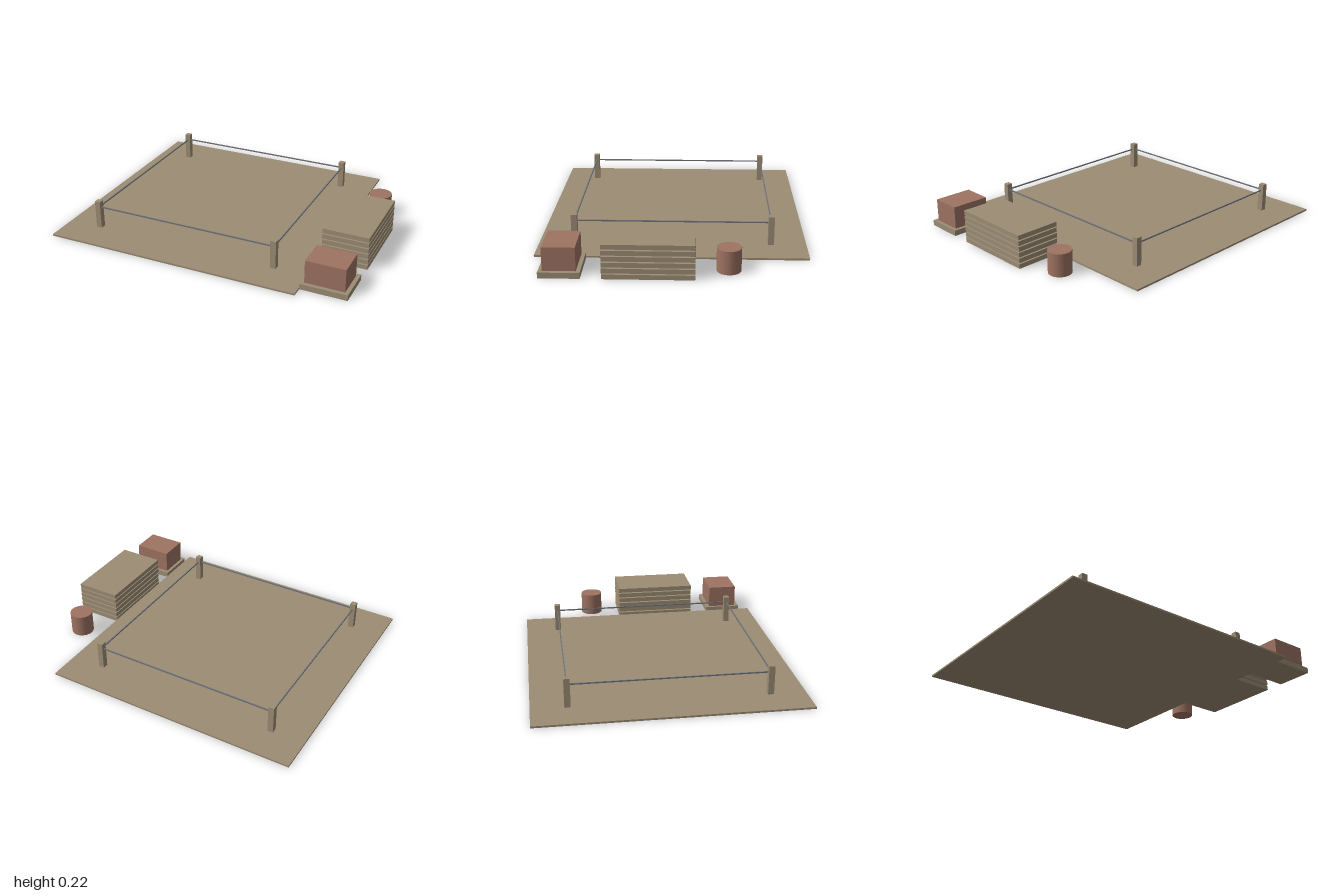
import * as THREE from 'three';

export function createModel() {
  const model = new THREE.Group();
  model.name = 'ropedYard';

  const wood = new THREE.MeshStandardMaterial({ color: 0x9c8c74 });
  wood.name = 'tan wood';
  const clay = new THREE.MeshStandardMaterial({ color: 0x9e7362 });
  clay.name = 'reddish brown';
  const cord = new THREE.MeshStandardMaterial({ color: 0x6e737a });
  cord.name = 'grey rope';

  // Box standing on height y, centred on x and z
  const box = (name, material, [w, h, d], [x, y, z], parent = model) => {
    const mesh = new THREE.Mesh(new THREE.BoxGeometry(w, h, d), material);
    mesh.name = name;
    mesh.position.set(x, y + h / 2, z);
    parent.add(mesh);
    return mesh;
  };

  // Ground slab
  box('groundSlab', wood, [1.7, 0.012, 1.7], [-0.15, 0, 0]);

  // Corner posts joined by a single line of rope
  const fence = new THREE.Group();
  fence.name = 'fence';
  fence.position.set(-0.15, 0, 0);
  model.add(fence);
  const half = 0.625;
  for (const side of [-1, 1]) {
    for (const end of [-1, 1]) {
      box('post', wood, [0.038, 0.188, 0.038], [side * half, 0.012, end * half], fence);
    }
    box('sideRope', cord, [0.007, 0.008, 2 * half], [side * half, 0.153, 0], fence);
    box('crossRope', cord, [2 * half, 0.008, 0.007], [0, 0.153, side * half], fence);
  }

  // Stack of six boards with narrow gaps
  const stack = new THREE.Group();
  stack.name = 'boardStack';
  model.add(stack);
  for (let i = 0; i < 6; i++) {
    box('board', wood, [0.3, 0.03, 0.55], [0.85, i * 0.0378, 0.125], stack);
  }

  // Crate on its pallet
  box('pallet', wood, [0.3, 0.037, 0.25], [0.85, 0, 0.65]);
  box('crate', clay, [0.254, 0.15, 0.2], [0.848, 0.037, 0.65]);

  // Barrel
  const barrel = new THREE.Mesh(new THREE.CylinderGeometry(0.075, 0.075, 0.15, 20), clay);
  barrel.name = 'barrel';
  barrel.position.set(0.85, 0.075, -0.35);
  model.add(barrel);

  return model;
}
